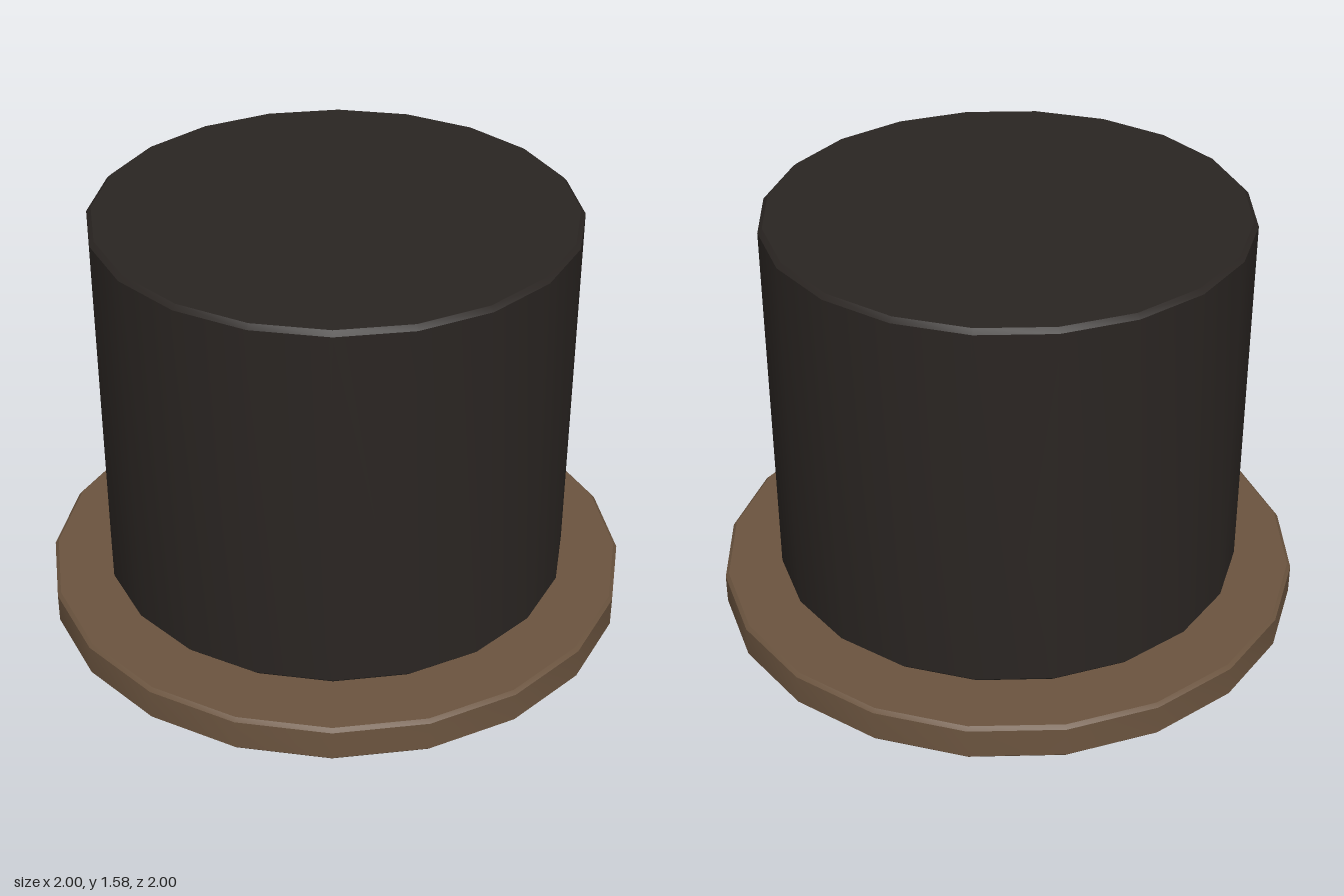
import * as THREE from 'three';
import { toCreasedNormals } from 'three/addons/utils/BufferGeometryUtils.js';

const SIDES = 20;

// Closed turned solid from a list of [radius, height], bottom to top
function turned(name, color, profile) {
  const points = profile.map(([r, y]) => new THREE.Vector2(r, y));
  const geometry = toCreasedNormals(new THREE.LatheGeometry(points, SIDES), 0.5);
  const mesh = new THREE.Mesh(geometry, new THREE.MeshStandardMaterial({ color }));
  mesh.name = name;
  return mesh;
}

// Disc with small chamfers on its rims
function disc(name, color, radius, bottom, top, bevel) {
  return turned(name, color, [
    [0, bottom], [radius - bevel, bottom], [radius, bottom + bevel],
    [radius, top - bevel], [radius - bevel, top], [0, top],
  ]);
}

export function createModel() {
  const model = new THREE.Group();
  model.name = 'knob';
  model.add(
    // Tall grip, held just clear of the flange
    disc('grip', 0x2a2522, 0.8, 0.28, 1.58, 0.015),
    // Wide flange
    disc('flange', 0x6b543f, 1, 0.135, 0.262, 0.012),
    // Stepped rings under the flange
    disc('darkRing', 0x2a2522, 0.72, 0.112, 0.135, 0.003),
    disc('brownRing', 0x6b543f, 0.69, 0.092, 0.112, 0.006),
    // Flared skirt with a sharp lower lip
    turned('skirt', 0xbfb8a6, [[0, 0.06], [0.61, 0.06], [0.57, 0.092], [0, 0.092]]),
    // Contact steps at the foot
    disc('footStep', 0xc4b699, 0.435, 0.026, 0.06, 0.008),
    disc('footPad', 0xdcbf94, 0.37, 0, 0.026, 0.002),
  );
  return model;
}
